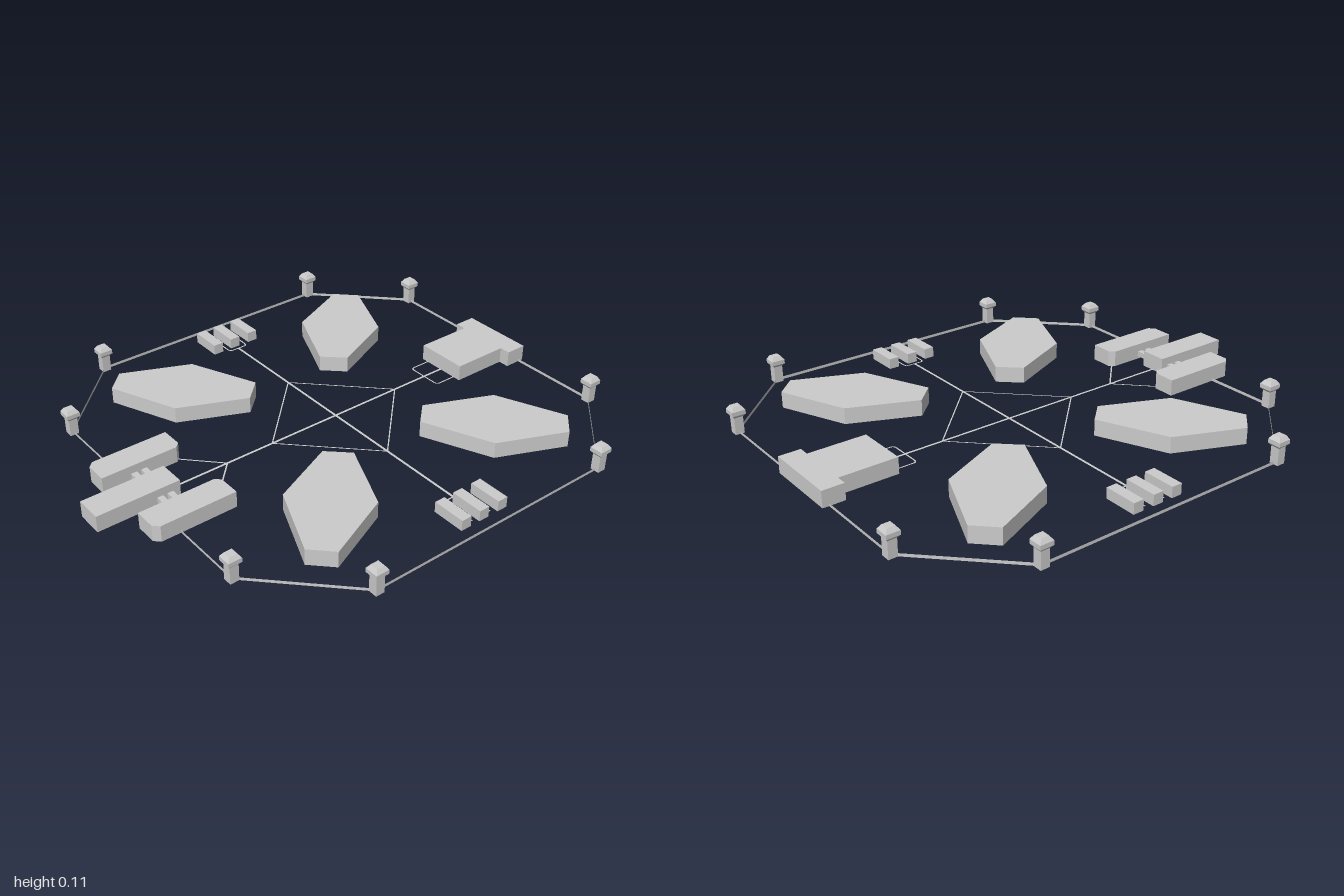
import * as THREE from 'three';

const MID = -0.1; // z of the layout's centre
const H = 0.067; // height of the large blocks
const solid = new THREE.MeshStandardMaterial({ color: 0xcccccc, flatShading: true });
const thin = new THREE.MeshStandardMaterial({ color: 0xcccccc, side: THREE.DoubleSide });

export function createModel() {
  const model = new THREE.Group();

  const add = (name, geometry, material = solid) => {
    const mesh = new THREE.Mesh(geometry, material);
    mesh.name = name;
    model.add(mesh);
    return mesh;
  };

  // Upright slab from an [x, z] outline
  const slab = (name, outline, height = H) => {
    const shape = new THREE.Shape(outline.map(([x, z]) => new THREE.Vector2(x, -z)));
    const geometry = new THREE.ExtrudeGeometry(shape, { depth: height, bevelEnabled: false });
    return add(name, geometry.rotateX(-Math.PI / 2));
  };

  const box = (name, x0, x1, y0, y1, z0, z1) =>
    add(name, new THREE.BoxGeometry(x1 - x0, y1 - y0, z1 - z0)
      .translate((x0 + x1) / 2, (y0 + y1) / 2, (z0 + z1) / 2));

  // Flat ground marking that follows [x, z] points with mitred joints
  const marking = (name, points, width, closed = false) => {
    const pts = points.map(([x, z]) => new THREE.Vector2(x, z));
    const n = pts.length;
    const positions = [], index = [];
    pts.forEach((p, i) => {
      const before = closed || i > 0 ? pts[(i + n - 1) % n] : null;
      const after = closed || i < n - 1 ? pts[(i + 1) % n] : null;
      const d1 = (before ? p.clone().sub(before) : after.clone().sub(p)).normalize();
      const d2 = (after ? after.clone().sub(p) : p.clone().sub(before)).normalize();
      const dir = d1.clone().add(d2).normalize();
      const half = width / 2 / Math.max(0.3, dir.dot(d2));
      positions.push(p.x - dir.y * half, 0.002, p.y + dir.x * half,
        p.x + dir.y * half, 0.002, p.y - dir.x * half);
      if (after) {
        const a = 2 * i, b = 2 * ((i + 1) % n);
        index.push(a, b, a + 1, a + 1, b, b + 1);
      }
    });
    const geometry = new THREE.BufferGeometry();
    geometry.setAttribute('position', new THREE.Float32BufferAttribute(positions, 3));
    geometry.setIndex(index);
    geometry.computeVertexNormals();
    return add(name, geometry, thin);
  };

  // U-shaped bracket with rounded corners: open end, closed end, half width
  const bracket = (open, end, half) => {
    const r = 0.015, s = Math.sign(open - end), points = [[open, -half]];
    for (const side of [-1, 1]) {
      for (let i = 0; i <= 4; i++) {
        const a = (side < 0 ? i : 4 - i) * Math.PI / 8;
        points.push([end + s * r * (1 - Math.sin(a)), side * (half - r + r * Math.cos(a))]);
      }
    }
    points.push([open, half]);
    return points;
  };

  // Four elongated hexagonal blocks, mirrored about both axes
  const hexagon = [[0.23, 0.25], [0.31, 0.165], [0.59, 0.288], [0.71, 0.563], [0.63, 0.643], [0.35, 0.523]];
  for (const sx of [-1, 1]) for (const sz of [-1, 1]) {
    slab('hexagonalBlock', hexagon.map(([x, z]) => [sx * x, MID + sz * z]));
  }

  // T-shaped rear block
  slab('rearBlock', [[-0.155, -1], [0.155, -1], [0.155, -0.91], [0.11, -0.91],
    [0.11, -0.67], [-0.11, -0.67], [-0.11, -0.91], [-0.155, -0.91]]);

  // Front cluster: centre block, chamfered side blocks and connectors
  box('frontCentreBlock', -0.055, 0.055, 0, H, 0.66, 1);
  for (const s of [-1, 1]) {
    slab('frontSideBlock', [[0.145, 0.54], [0.235, 0.54], [0.235, 0.853], [0.213, 0.875],
      [0.125, 0.875], [0.125, 0.56]].map(([x, z]) => [s * x, z]));
    for (const z of [0.703, 0.745]) {
      const x = s * 0.09;
      box('connector', x - 0.037, x + 0.037, 0.012, 0.034, z - 0.012, z + 0.012);
    }
    marking('frontBranchLine', [[0, 0.42], [s * 0.135, 0.55]], 0.006);
  }

  // Three small blocks and a bracket on each side
  for (const s of [-1, 1]) {
    for (const z of [-0.188, -0.098, -0.012]) {
      const x = s * 0.758;
      box('smallSideBlock', x - 0.068, x + 0.068, 0, 0.044, z - 0.022, z + 0.022);
    }
    marking('sideBracket', bracket(s * 0.81, s * 0.67, 0.044).map(([x, z]) => [x, z + MID]), 0.006);
  }
  marking('rearBracket', bracket(-0.67, -0.575, 0.078).map(([z, x]) => [x, z]), 0.006);

  // Crossing ground lines and central diamond
  marking('crossLine', [[-0.67, MID], [0.67, MID]], 0.01);
  marking('lengthLine', [[0, -0.67], [0, 0.66]], 0.01);
  marking('diamond', [[0.312, MID], [0, 0.212], [-0.312, MID], [0, -0.412]], 0.005, true);

  // Ring of eight square posts with bevelled caps, joined by a thin upright strip
  const posts = [[0.54, 0.875], [0.877, 0.54], [0.877, -0.54], [0.54, -0.875],
    [-0.54, -0.875], [-0.877, -0.54], [-0.877, 0.54], [-0.54, 0.875]].map(([x, z]) => [x, z + MID]);
  const capProfile = [[0, 0.068], [0.017, 0.068], [0.027, 0.08], [0.027, 0.097], [0.016, 0.113], [0, 0.113]]
    .map(([r, y]) => new THREE.Vector2(r * Math.SQRT2, y));
  posts.forEach(([x, z], i) => {
    box('post', x - 0.018, x + 0.018, 0, 0.075, z - 0.018, z + 0.018);
    add('postCap', new THREE.LatheGeometry(capProfile, 4, Math.PI / 4)).position.set(x, 0, z);
    const [x2, z2] = posts[(i + 1) % posts.length];
    const strip = add('boundaryStrip', new THREE.PlaneGeometry(Math.hypot(x2 - x, z2 - z), 0.012), thin);
    strip.position.set((x + x2) / 2, 0.006, (z + z2) / 2);
    strip.rotation.y = -Math.atan2(z2 - z, x2 - x);
  });

  // Reversed outlines are wound correctly by the extrusion, so no flips are needed
  return model;
}
